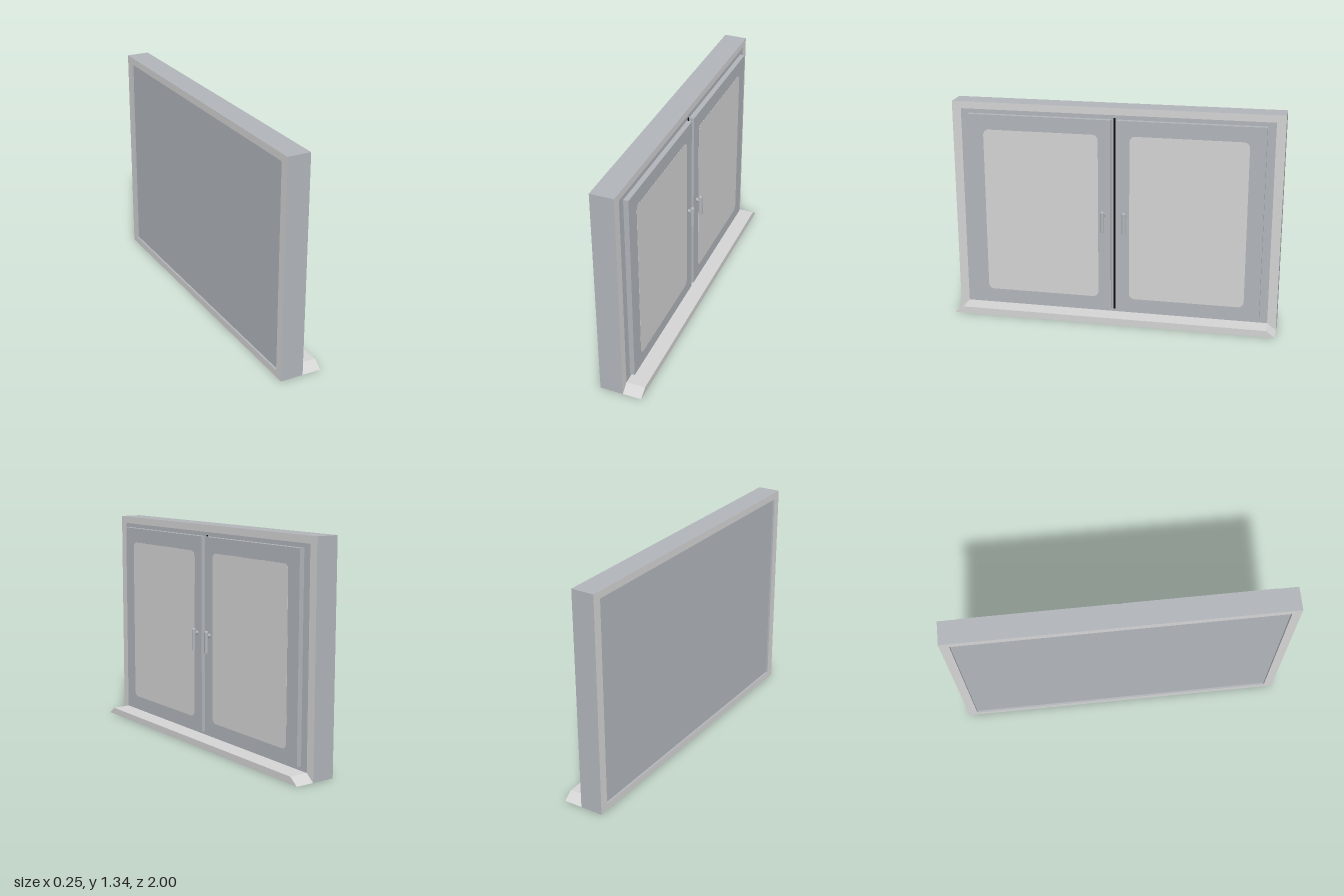
import * as THREE from 'three';

const material = (name, color) => {
  const m = new THREE.MeshStandardMaterial({ color });
  m.name = name;
  return m;
};

// Extrudes a (z, y) outline along +x, starting at x
function extrudeX(shape, x, depth) {
  const g = new THREE.ExtrudeGeometry(shape, { depth, bevelEnabled: false, curveSegments: 8 });
  return g.rotateY(Math.PI / 2).translate(x, 0, 0);
}

function polygon(points) {
  return new THREE.Shape(points.map(([a, b]) => new THREE.Vector2(a, b)));
}

const rectangle = (w, y0, y1) => polygon([[-w, y0], [w, y0], [w, y1], [-w, y1]]);

function roundedRect(w, h, r) {
  const s = new THREE.Shape();
  const a = w / 2 - r, b = h / 2 - r;
  s.absarc(a, b, r, 0, Math.PI / 2);
  s.absarc(-a, b, r, Math.PI / 2, Math.PI);
  s.absarc(-a, -b, r, Math.PI, Math.PI * 1.5);
  s.absarc(a, -b, r, Math.PI * 1.5, Math.PI * 2);
  s.closePath();
  return s;
}

export function createModel() {
  const model = new THREE.Group();
  model.name = 'window';
  const blue = material('blueGrey', 0xb1b5ba);
  const light = material('lightGrey', 0xd4d4d4);
  const black = material('blackSeal', 0x0c0c0c);

  const add = (parent, name, geometry, mat) => {
    const mesh = new THREE.Mesh(geometry, mat);
    mesh.name = name;
    parent.add(mesh);
    return mesh;
  };
  const box = (x0, x1, y0, y1, z0, z1) =>
    new THREE.BoxGeometry(x1 - x0, y1 - y0, z1 - z0)
      .translate((x0 + x1) / 2, (y0 + y1) / 2, (z0 + z1) / 2);

  // Outer frame: light front and back faces, blue-grey edges
  const ring = rectangle(1, 0, 1.335);
  ring.holes.push(rectangle(0.945, 0.042, 1.292));
  add(model, 'frame', extrudeX(ring, -0.13, 0.14), [light, blue]);

  // Infill, flush at the front and slightly recessed at the back
  add(model, 'infillPanel', box(-0.118, 0.01, 0.042, 1.292, -0.945, 0.945), blue);

  // Sill with slanted ends
  const sill = polygon([[-1, 0], [1, 0], [0.945, 0.042], [-0.945, 0.042]]);
  add(model, 'sill', extrudeX(sill, 0.01, 0.115), light);

  // Dark seal between the two sashes
  add(model, 'centreSeal', box(0.01, 0.014, 0.06, 1.275, -0.006, 0.006), black);

  for (const side of [1, -1]) {
    const sash = new THREE.Group();
    sash.name = side > 0 ? 'leftSash' : 'rightSash';
    model.add(sash);

    const zMid = side * 0.457;
    add(sash, 'sashBoard', box(0.01, 0.04, 0.066, 1.267, zMid - 0.439, zMid + 0.439), blue);

    // Pane as a thin rounded plate
    const pane = extrudeX(roundedRect(0.705, 1.03, 0.035), 0.04, 0.001);
    add(sash, 'pane', pane.translate(0, 0.66, side * 0.448), light);

    // Handle: short stem and a hanging grip with a domed top
    const handle = new THREE.Group();
    handle.name = 'handle';
    handle.position.set(0.065, 0, side * 0.066);
    sash.add(handle);
    add(handle, 'stem', new THREE.CylinderGeometry(0.012, 0.012, 0.025, 20)
      .rotateZ(Math.PI / 2).translate(-0.0125, 0.678, 0), blue);
    add(handle, 'grip', new THREE.CylinderGeometry(0.012, 0.012, 0.123, 20)
      .translate(0, 0.6365, 0), blue);
    add(handle, 'gripTop', new THREE.SphereGeometry(0.012, 20, 8, 0, Math.PI * 2, 0, Math.PI / 2)
      .translate(0, 0.698, 0), blue);
  }
  return model;
}
